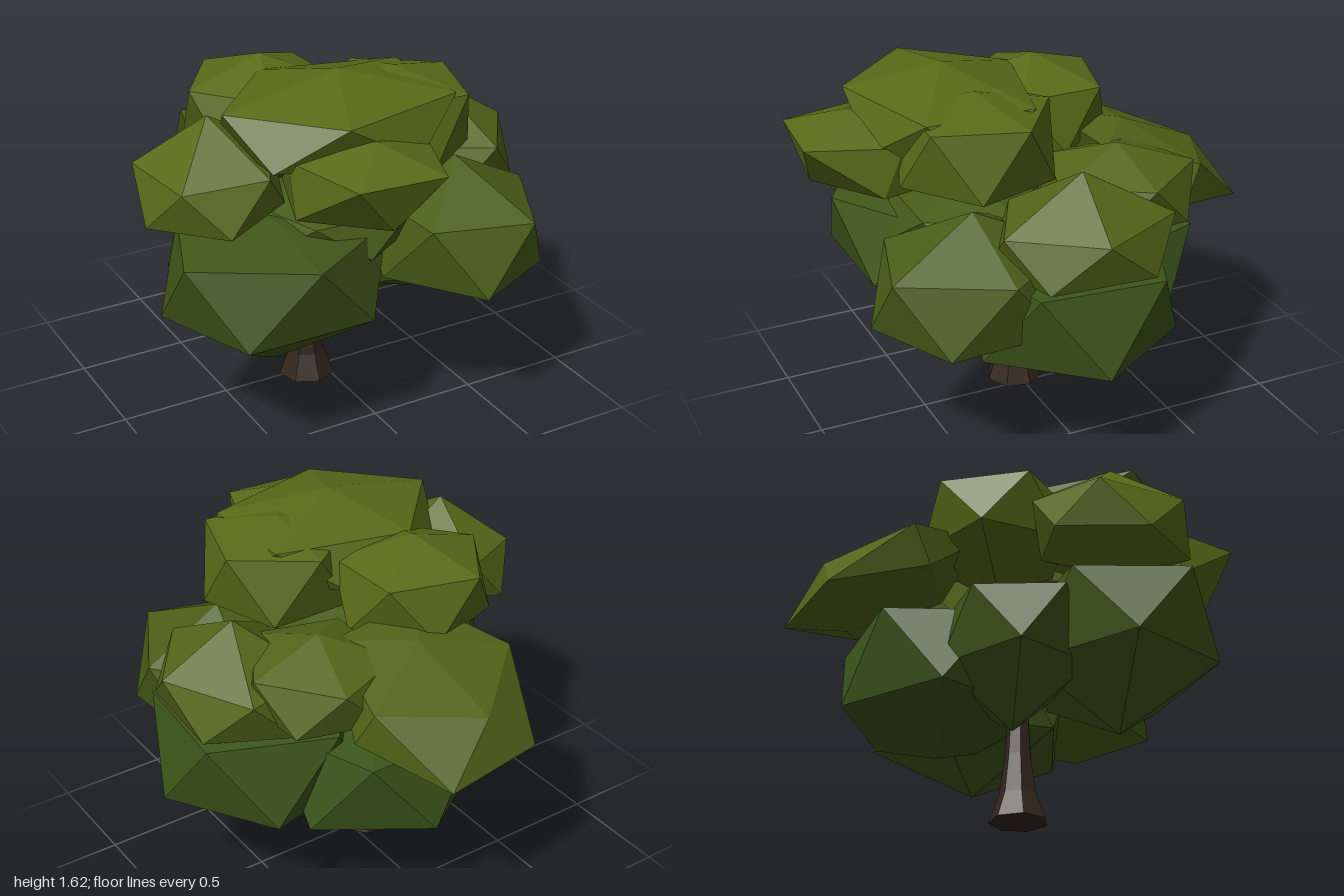
import * as THREE from 'three';

const rad = THREE.MathUtils.degToRad;
const barkMaterial = new THREE.MeshStandardMaterial({ color: 0x33261c, flatShading: true });
const lowLeaf = new THREE.Color(0x38521a);
const highLeaf = new THREE.Color(0x586a18);

// Faceted leaf clump: a pole-up icosahedron whose four layers of corners
// (bottom, lower ring, upper ring, top) are set to given heights.
// It is stretched to an x and z range; slopes make it droop sideways
// and pushZ slides higher corners along z.
function leafClump(name, [x0, x1], [z0, z1], layers, turn, slopeX = 0, slopeZ = 0, pushZ = 0) {
  const geo = new THREE.IcosahedronGeometry(1, 0);
  geo.rotateZ(-Math.atan(2 / (1 + Math.sqrt(5)))); // one corner straight up
  geo.rotateY(rad(-turn));
  geo.computeBoundingBox();
  const { min, max } = geo.boundingBox;
  const midY = (layers[1] + layers[2]) / 2;
  const pos = geo.attributes.position;
  for (let i = 0; i < pos.count; i++) {
    const level = pos.getY(i);
    const y = layers[level < -0.7 ? 0 : level < 0 ? 1 : level < 0.7 ? 2 : 3];
    const x = THREE.MathUtils.mapLinear(pos.getX(i), min.x, max.x, x0, x1);
    const z = THREE.MathUtils.mapLinear(pos.getZ(i), min.z, max.z, z0, z1);
    const droop = slopeX * (x - (x0 + x1) / 2) + slopeZ * (z - (z0 + z1) / 2);
    pos.setXYZ(i, x, y + droop, z + pushZ * (y - midY));
  }
  geo.computeVertexNormals();
  // Higher clumps are lighter
  const color = lowLeaf.clone().lerp(highLeaf, THREE.MathUtils.smoothstep(layers[3], 0.8, 1.5));
  const mesh = new THREE.Mesh(geo, new THREE.MeshStandardMaterial({ color, flatShading: true }));
  mesh.name = name;
  return mesh;
}

// Tapered limb between two points
function limb(name, from, to, r0, r1) {
  const a = new THREE.Vector3(...from);
  const b = new THREE.Vector3(...to);
  const dir = b.clone().sub(a);
  const mesh = new THREE.Mesh(new THREE.CylinderGeometry(r1, r0, dir.length(), 6), barkMaterial);
  mesh.position.copy(a).add(b).multiplyScalar(0.5);
  mesh.quaternion.setFromUnitVectors(new THREE.Vector3(0, 1, 0), dir.normalize());
  mesh.name = name;
  return mesh;
}

export function createModel() {
  const tree = new THREE.Group();
  tree.name = 'tree';

  // Flared trunk
  const profile = [[0, 0], [0.13, 0], [0.085, 0.12], [0.06, 0.3], [0.048, 0.5], [0.045, 0.7], [0, 0.7]]
    .map(([r, y]) => new THREE.Vector2(r, y));
  const trunk = new THREE.Mesh(new THREE.LatheGeometry(profile, 7), barkMaterial);
  trunk.position.set(-0.085, 0, 0.01);
  trunk.name = 'trunk';
  tree.add(trunk);

  // Branches reaching into the clumps
  const fork = [-0.085, 0.62, 0.01];
  [[-0.45, 1.12, 0.2], [0.45, 1.0, 0], [-0.1, 1.25, 0.35], [0.05, 0.95, -0.45], [-0.25, 1.25, -0.15]]
    .forEach((tip) => tree.add(limb('branch', fork, tip, 0.04, 0.02)));

  // Canopy clumps: x range, z range, layer heights, turn, slopes, push
  const canopy = new THREE.Group();
  canopy.name = 'canopy';
  [
    ['lowerFrontRightClump', [-0.89, 0.06], [-0.08, 0.76], [0.33, 0.6, 0.93, 1.0], 306],
    ['lowerFrontLeftClump', [0.05, 0.8], [0.0, 0.86], [0.57, 0.66, 0.96, 1.15], 284],
    ['lowerLeftClump', [0.0, 0.95], [-0.45, 0.46], [0.3, 0.53, 0.9, 0.95], 185],
    ['lowerBackClump', [-0.38, 0.52], [-0.75, 0.12], [0.3, 0.48, 0.84, 0.92], 90],
    ['lowerBackRightClump', [-0.68, 0.08], [-0.43, 0.22], [0.32, 0.58, 0.86, 0.98], 20],
    ['middleClump', [-0.45, 0.3], [-0.1, 0.6], [0.76, 0.84, 1.0, 1.1], 200],
    ['backClump', [-0.41, 0.4], [-0.965, -0.24], [0.8, 0.95, 1.18, 1.26], 118, 0, 0.28, 0.6],
    ['leftClump', [0.27, 0.92], [-0.38, 0.4], [0.84, 0.92, 1.12, 1.32], 5],
    ['backLeftClump', [0.03, 0.68], [-0.61, 0.06], [0.9, 1.0, 1.2, 1.31], 285],
    ['rightClump', [-0.955, -0.35], [-0.13, 0.56], [0.96, 1.07, 1.27, 1.47], 210, 0.08],
    ['upperFrontClump', [-0.48, 0.15], [0.28, 0.99], [1.04, 1.14, 1.36, 1.45], 58, 0, 0, 0.6],
    ['upperBackClump', [-0.57, 0.12], [-0.47, 0.18], [1.02, 1.19, 1.44, 1.55], 250],
    ['upperLeftClump', [-0.15, 0.5], [-0.04, 0.65], [1.13, 1.2, 1.49, 1.57], -18],
    ['topClump', [-0.64, 0.42], [-0.06, 0.73], [1.2, 1.32, 1.51, 1.615], 180],
  ].forEach((clump) => canopy.add(leafClump(...clump)));
  tree.add(canopy);
  return tree;
}
